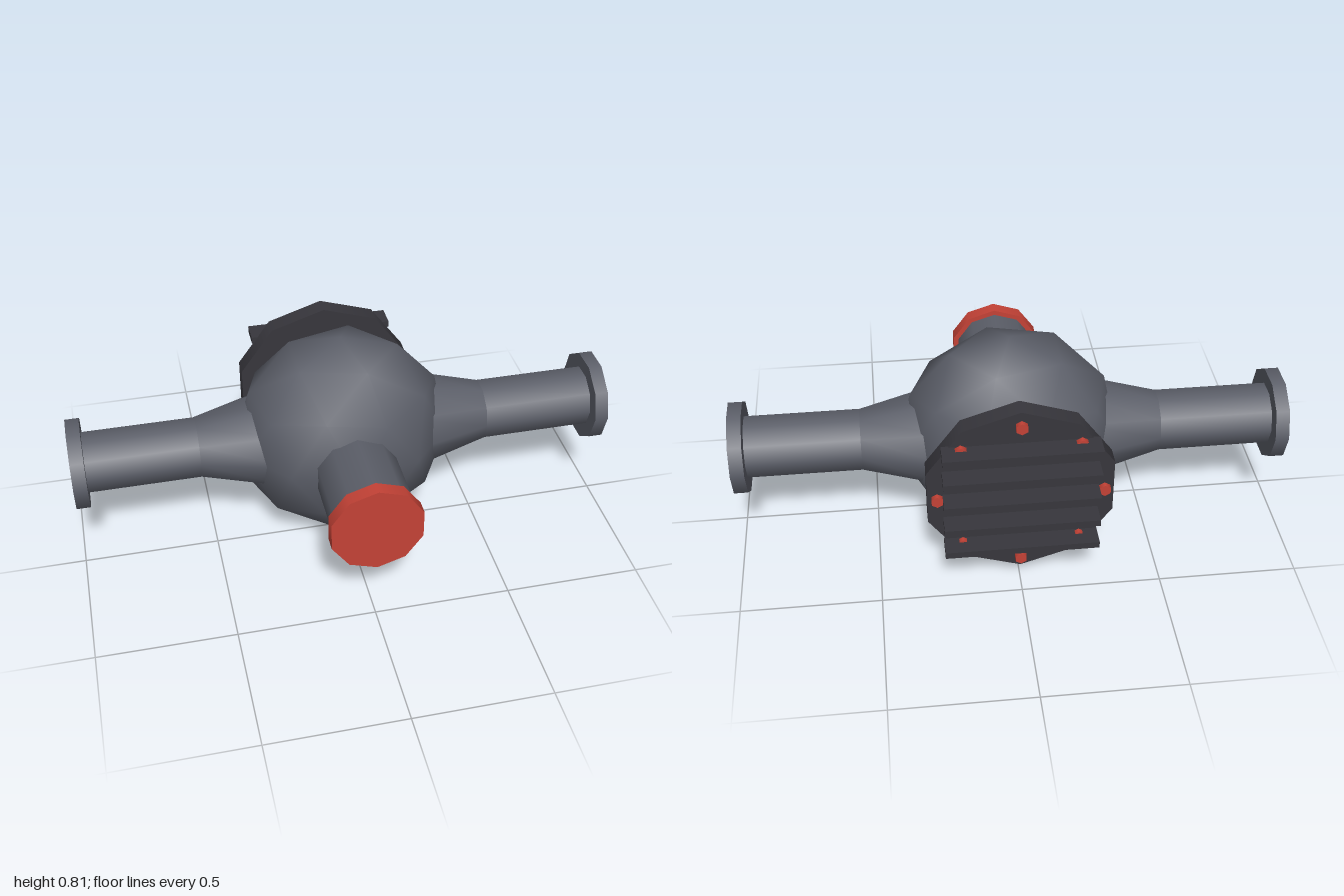
import * as THREE from 'three';

const SIDES = 10;
const Y = 0.41;   // axle height
const Z = -0.08;  // axle depth

export function createModel() {
  const group = new THREE.Group();
  const paint = (name, color) => {
    const m = new THREE.MeshStandardMaterial({ color });
    m.name = name;
    return m;
  };
  const steel = paint('greySteel', 0x5b5e68);
  const dark = paint('darkIron', 0x37363c);
  const red = paint('redPaint', 0xc44236);

  const add = (name, geometry, material, x = 0, y = Y, z = 0) => {
    const mesh = new THREE.Mesh(geometry, material);
    mesh.name = name;
    mesh.position.set(x, y, z);
    group.add(mesh);
    return mesh;
  };

  // Cylinder along z, from z0 up to z1
  const alongZ = (name, r, z0, z1, material, x = 0, y = Y, sides = SIDES) =>
    add(name, new THREE.CylinderGeometry(r, r, z1 - z0, sides).rotateX(Math.PI / 2),
      material, x, y, (z0 + z1) / 2);

  // Cylinder or cone along x, from x0 outwards to x1, on the given side
  const alongX = (name, side, r0, r1, x0, x1) =>
    add(name, new THREE.CylinderGeometry(r1, r0, x1 - x0, SIDES).rotateZ(-side * Math.PI / 2),
      steel, side * (x0 + x1) / 2, Y, Z);

  // Round housing, turned so one vertex points straight up
  const housing = new THREE.IcosahedronGeometry(1, 1);
  housing.rotateZ(-Math.atan(2 / (1 + Math.sqrt(5))));
  housing.scale(0.4, 0.405, 0.32);
  add('housing', housing, steel, 0, Y, Z);

  // Axle arms
  for (const [label, side] of [['left', 1], ['right', -1]]) {
    alongX(label + 'ArmCone', side, 0.2, 0.115, 0.22, 0.54);
    alongX(label + 'AxleTube', side, 0.115, 0.115, 0.53, 0.96);
    alongX(label + 'AxleFlange', side, 0.17, 0.17, 0.95, 1);
  }

  // Front input pipe with its flange
  alongZ('inputPipe', 0.151, 0.05, 0.47, steel);
  alongZ('inputFlange', 0.17, 0.463, 0.514, red);

  // Rear cover with cooling ribs
  alongZ('rearCover', 0.34, -0.437, -0.37, dark);
  for (let i = -2; i <= 2; i++) {
    add('coolingRib', new THREE.BoxGeometry(0.54, 0.025, 0.084), dark, 0, Y + i * 0.101, -0.472);
  }

  // Ring of cover bolts
  for (let i = 0; i < 8; i++) {
    const a = (i * Math.PI) / 4;
    alongZ('coverBolt', 0.0225, -0.463, -0.444, red,
      0.289 * Math.sin(a), Y + 0.289 * Math.cos(a), 6);
  }

  return group;
}
